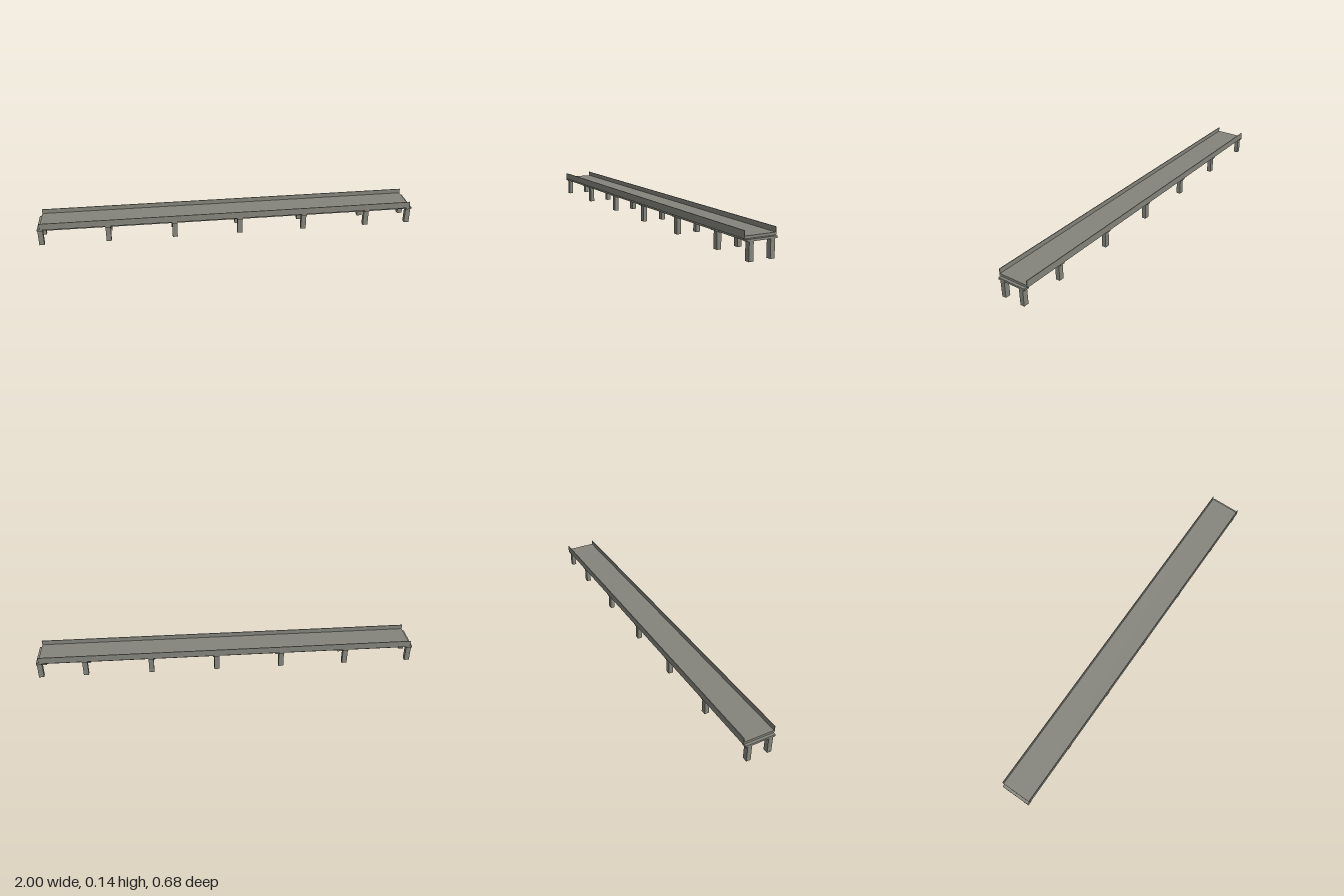
import * as THREE from 'three';

export function createModel() {
  const model = new THREE.Group();
  model.name = 'bridge';
  const concrete = new THREE.MeshStandardMaterial({ color: 0x84847c });
  concrete.name = 'concrete grey';

  // Box given by its length, bottom, top, width and its centre along and across the bridge
  const block = (name, length, bottom, top, width, x, z, parent) => {
    const mesh = new THREE.Mesh(new THREE.BoxGeometry(length, top - bottom, width), concrete);
    mesh.name = name;
    mesh.position.set(x, (bottom + top) / 2, z);
    parent.add(mesh);
  };

  // The whole span runs diagonally across the ground
  const span = new THREE.Group();
  span.name = 'span';
  span.rotation.y = -Math.PI / 12;
  model.add(span);

  // Road deck with a thin parapet and a supporting girder on each side
  block('deck', 2, 0.099, 0.111, 0.168, 0, 0, span);
  for (const side of [-1, 1]) {
    block('parapet', 2, 0.111, 0.135, 0.004, 0, side * 0.082, span);
    block('girder', 2, 0.083, 0.099, 0.016, 0, side * 0.055, span);
  }

  // Evenly spaced piers, plus one closing the far end
  for (const x of [-1, -0.648, -0.295, 0.057, 0.41, 0.762, 1]) {
    const pier = new THREE.Group();
    pier.name = 'pier';
    pier.position.x = x;
    span.add(pier);
    block('pierCap', 0.0276, 0.088, 0.0985, 0.158, 0, 0, pier);
    for (const side of [-1, 1]) block('column', 0.027, 0, 0.088, 0.023, 0, side * 0.056, pier);
  }
  return model;
}
